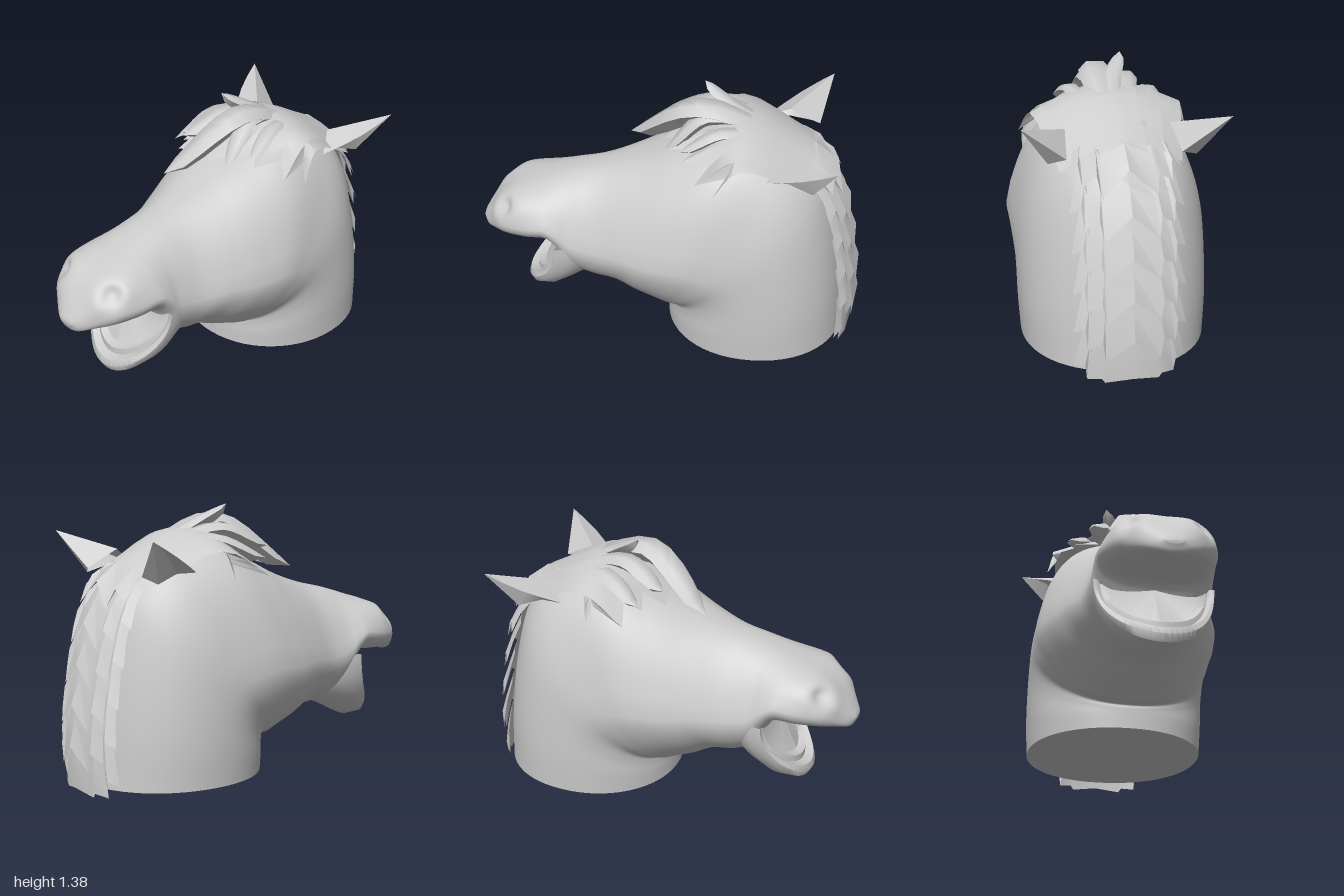
import * as THREE from 'three';
import { toCreasedNormals } from 'three/addons/utils/BufferGeometryUtils.js';

const V = (x, y, z) => new THREE.Vector3(x, y, z);
const skinMat = new THREE.MeshStandardMaterial({ color: 0xcccccc, side: THREE.DoubleSide });

// Surface through rows of points; closed rows wrap around
function loft(rows, closed = false) {
  const n = rows[0].length, index = [];
  for (let j = 0; j < rows.length - 1; j++) {
    for (let i = 0; i < (closed ? n : n - 1); i++) {
      const k = (i + 1) % n;
      const a = j * n + i, b = j * n + k, c = a + n, d = b + n;
      index.push(a, b, c, b, d, c);
    }
  }
  const g = new THREE.BufferGeometry().setFromPoints(rows.flat());
  g.setIndex(index);
  g.computeVertexNormals();
  return g;
}

function add(parent, name, geometry) {
  const mesh = new THREE.Mesh(geometry, skinMat);
  mesh.name = name;
  parent.add(mesh);
}

// Sections from neck base to nose:
// crest z,y, throat z,y, half width, squareness, upper and lower narrowing
const SECTIONS = [
  [-0.92, 0.045, 0.02, 0.045, 0.455, 2.1, 0, 0],
  [-0.90, 0.35, 0.02, 0.11, 0.465, 2.1, 0, 0],
  [-0.85, 0.70, 0.02, 0.15, 0.47, 2.1, 0.03, 0.05],
  [-0.76, 0.98, 0.02, 0.17, 0.48, 2.3, 0.12, 0.15],
  [-0.58, 1.14, 0.06, 0.18, 0.485, 2.8, 0.21, 0.28],
  [-0.30, 1.20, 0.10, 0.20, 0.48, 3.0, 0.23, 0.33],
  [-0.05, 1.11, 0.20, 0.24, 0.44, 2.9, 0.24, 0.33],
  [0.15, 1.02, 0.30, 0.29, 0.385, 2.7, 0.26, 0.28],
  [0.34, 0.955, 0.42, 0.31, 0.325, 2.6, 0.3, 0.18],
  [0.49, 0.92, 0.52, 0.38, 0.305, 2.7, 0.32, 0.05],
  [0.58, 0.895, 0.575, 0.49, 0.30, 2.7, 0.32, 0],
  [0.66, 0.87, 0.63, 0.56, 0.295, 2.7, 0.28, 0],
  [0.74, 0.845, 0.74, 0.56, 0.275, 2.8, 0.2, 0],
  [0.82, 0.81, 0.85, 0.555, 0.228, 2.8, 0.12, 0],
  [0.89, 0.755, 0.92, 0.545, 0.165, 2.6, 0.06, 0],
  [0.955, 0.675, 0.975, 0.535, 0.095, 2.2, 0, 0],
  [0.995, 0.61, 1.0, 0.575, 0.04, 2, 0, 0],
];

function headRings(steps, sides) {
  const curve = f => new THREE.CatmullRomCurve3(SECTIONS.map(f), false, 'catmullrom', 0.5);
  const crest = curve(s => V(0, s[1], s[0]));
  const throat = curve(s => V(0, s[3], s[2]));
  const girth = curve(s => V(s[4], s[5], 0));
  const narrow = curve(s => V(s[6], s[7], 0));
  const rings = [];
  for (let j = 0; j <= steps; j++) {
    const [top, low, g, taper] = [crest, throat, girth, narrow].map(c => c.getPoint(j / steps));
    const power = v => Math.sign(v) * Math.abs(v) ** (2 / g.y);
    rings.push(Array.from({ length: sides }, (_, i) => {
      const a = i / sides * Math.PI * 2, s = power(Math.sin(a));
      const p = low.clone().lerp(top, 0.5 + 0.5 * s);
      const slim = taper.x * Math.max(0, s + 0.25) + taper.y * Math.min(0, s) ** 2;
      p.x = g.x * power(Math.cos(a)) * (1 - slim);
      // Flared nostrils with a hollow in the middle
      const side = p.x < 0 ? -1 : 1;
      const d2 = p.distanceToSquared(V(side * 0.165, 0.735, 0.84));
      const push = 0.04 * Math.exp(-d2 / 0.01) - 0.065 * Math.exp(-d2 / 0.003);
      return p.addScaledVector(V(side * 0.5, 0.2, 0.75), push);
    }));
  }
  return rings;
}

// Lower jaw rows, outside to inside: half width, depth at chin, chin z, corner z
const JAW = [
  [0.20, 0.22, 0.34, 0.40],
  [0.275, 0.32, 0.56, 0.46],
  [0.29, 0.38, 0.68, 0.52],
  [0.295, 0.375, 0.765, 0.575],
  [0.295, 0.34, 0.785, 0.585],
  [0.28, 0.305, 0.775, 0.585],
  [0.262, 0.295, 0.73, 0.57],
  [0.252, 0.26, 0.73, 0.575],
  [0.22, 0.25, 0.69, 0.575],
  [0, 0.04, 0.60, 0.59],
];

function jawRows() {
  return JAW.map(([w, depth, zChin, zCorner]) => Array.from({ length: 33 }, (_, i) => {
    const a = (i / 32 - 0.5) * Math.PI, c = Math.cos(a);
    return V(w * Math.sin(a), 0.57 - depth * c, zCorner + (zChin - zCorner) * c * c);
  }));
}

// Jagged front edge of the hair cap, right to left
const FRINGE = [
  [-0.40, 1.03, -0.30], [-0.35, 1.10, -0.28], [-0.40, 1.04, -0.10], [-0.27, 1.12, -0.15],
  [-0.28, 1.09, -0.05], [-0.15, 1.13, -0.10], [-0.21, 1.10, 0.05], [-0.06, 1.12, 0],
  [0, 1.10, 0.04], [0.08, 1.13, -0.06], [0.11, 1.10, 0.03], [0.16, 1.13, -0.12],
  [0.22, 1.10, -0.06], [0.27, 1.12, -0.20], [0.36, 1.06, -0.13], [0.35, 1.10, -0.28], [0.42, 1.03, -0.22],
];

function hairCap() {
  const curves = FRINGE.map(([x, y, z]) => new THREE.CatmullRomCurve3([
    V(x * 0.7, 1.11 - 0.7 * x * x, -0.71), V(x * 0.9, 1.27 - 0.65 * x * x, -0.34), V(x, y, z),
  ]));
  return toCreasedNormals(loft(Array.from({ length: 9 }, (_, j) => curves.map(c => c.getPoint(j / 8)))), 0.6);
}

// Deep tapering lock of hair: crest on top, keel reaching down to the head
function lock(root, mid, tip, width) {
  const curve = new THREE.CatmullRomCurve3([root, mid, tip]);
  const rows = [];
  for (let j = 0; j <= 10; j++) {
    const t = j / 10, p = curve.getPoint(t), dir = curve.getTangent(t);
    const side = dir.clone().cross(V(0, 1, 0)).normalize();
    const up = side.clone().cross(dir);
    const w = width * (0.45 + 1.1 * t) * Math.sqrt(1 - t);
    rows.push([[0.9, -0.35], [0.45, 0.12], [-0.45, 0.12], [-0.9, -0.35], [0, -1.2]].map(([s, u]) =>
      p.clone().addScaledVector(side, s * w).addScaledVector(up, u * w)));
  }
  return toCreasedNormals(loft(rows, true), 0.9);
}

// Middle point, tip and half width of each raised lock
const LOCKS = [
  [[0.02, 1.32, -0.13], [-0.13, 1.05, 0.23], 0.13],
  [[0.07, 1.29, -0.17], [0.11, 1.10, 0.03], 0.08],
  [[-0.11, 1.28, -0.20], [-0.20, 1.17, 0.03], 0.10],
  [[-0.03, 1.30, -0.30], [-0.10, 1.38, -0.15], 0.07],
  [[-0.20, 1.23, -0.28], [-0.31, 1.12, -0.06], 0.09],
  [[0.16, 1.25, -0.25], [0.21, 1.15, -0.05], 0.07],
];

// Mane tiers: sideways position and length of the jagged lower edge
const EDGE = [[0, 0.75], [0.13, 1.25], [0.145, 0.8], [0.21, 1], [0.22, 0.5], [0.27, 0.65]];
const maneLine = new THREE.CatmullRomCurve3([
  V(0, 1.10, -0.66), V(0, 1.00, -0.76), V(0, 0.8, -0.84), V(0, 0.55, -0.89),
  V(0, 0.3, -0.92), V(0, 0.1, -0.91), V(0, 0.012, -0.89),
]);

function maneTier(start, step) {
  const columns = [...EDGE.slice(1).reverse().map(([x, d]) => [-x, d]), ...EDGE];
  const rows = [0, 0.5, 1].map(r => columns.map(([x, drop]) => {
    const t = Math.min(1, Math.max(0, start + step * (r * (drop * 1.1 + 0.5) - 0.5)));
    const p = maneLine.getPointAt(t), dir = maneLine.getTangentAt(t);
    const px = x * (0.8 + 0.2 * r);
    const lift = 0.02 + 0.055 * r - 1.45 * px * px;
    return p.add(V(px, -dir.z * lift, dir.y * lift));
  }));
  return toCreasedNormals(loft(rows), 0.6);
}

// Swept-back pointed ear, hollow on its lower front, mirrored by side
function ear(side) {
  const base = [[0.25, 1.15, -0.58], [0.32, 1.07, -0.47], [0.32, 1.07, -0.58],
    [0.35, 1.03, -0.70], [0.27, 1.06, -0.74]];
  const tip = V(0.485, 1.24, -0.805);
  const rows = [0, 0.25, 0.5, 0.75, 1].map(t => base.map(([x, y, z], i) => {
    const p = V(x, y, z).lerp(tip, t);
    const bulge = Math.sin(Math.PI * t) * 0.025;
    if (i === 1) p.x += bulge;
    if (i === 2) p.y += bulge;
    p.x *= side;
    return p;
  }));
  if (side > 0) rows.forEach(r => r.reverse());
  return toCreasedNormals(loft(rows, true), 0.7);
}

export function createModel() {
  const model = new THREE.Group();
  model.name = 'horseHead';

  // Neck, skull and muzzle as one skin, closed at the nose
  const rings = headRings(112, 56);
  const nose = V(0, 0.592, 1);
  add(model, 'headAndNeck', loft([...rings, rings[0].map(() => nose.clone())], true));

  // Flat underside of the neck
  const centre = V(0, 0.045, -0.45);
  add(model, 'neckBase', loft([rings[0].map(() => centre.clone()), rings[0].map(p => p.clone())], true));

  // Open lower jaw with lip, tooth ridge and mouth floor
  add(model, 'lowerJaw', toCreasedNormals(loft(jawRows()), 0.8));

  // Ears
  add(model, 'leftEar', ear(1));
  add(model, 'rightEar', ear(-1));

  // Hair cap over the crown with raised forelock strands
  const hair = new THREE.Group();
  hair.name = 'forelock';
  add(hair, 'hairCap', hairCap());
  for (const [mid, tip, width] of LOCKS) {
    add(hair, 'hairLock', lock(V(mid[0] * 0.5, 1.15, -0.6), V(...mid), V(...tip), width));
  }
  model.add(hair);

  // Overlapping mane tiers down the back of the neck
  const mane = new THREE.Group();
  mane.name = 'mane';
  const tiers = 6;
  for (let i = 0; i < tiers; i++) add(mane, 'maneTier', maneTier(i / tiers, 1 / tiers));
  model.add(mane);

  return model;
}
